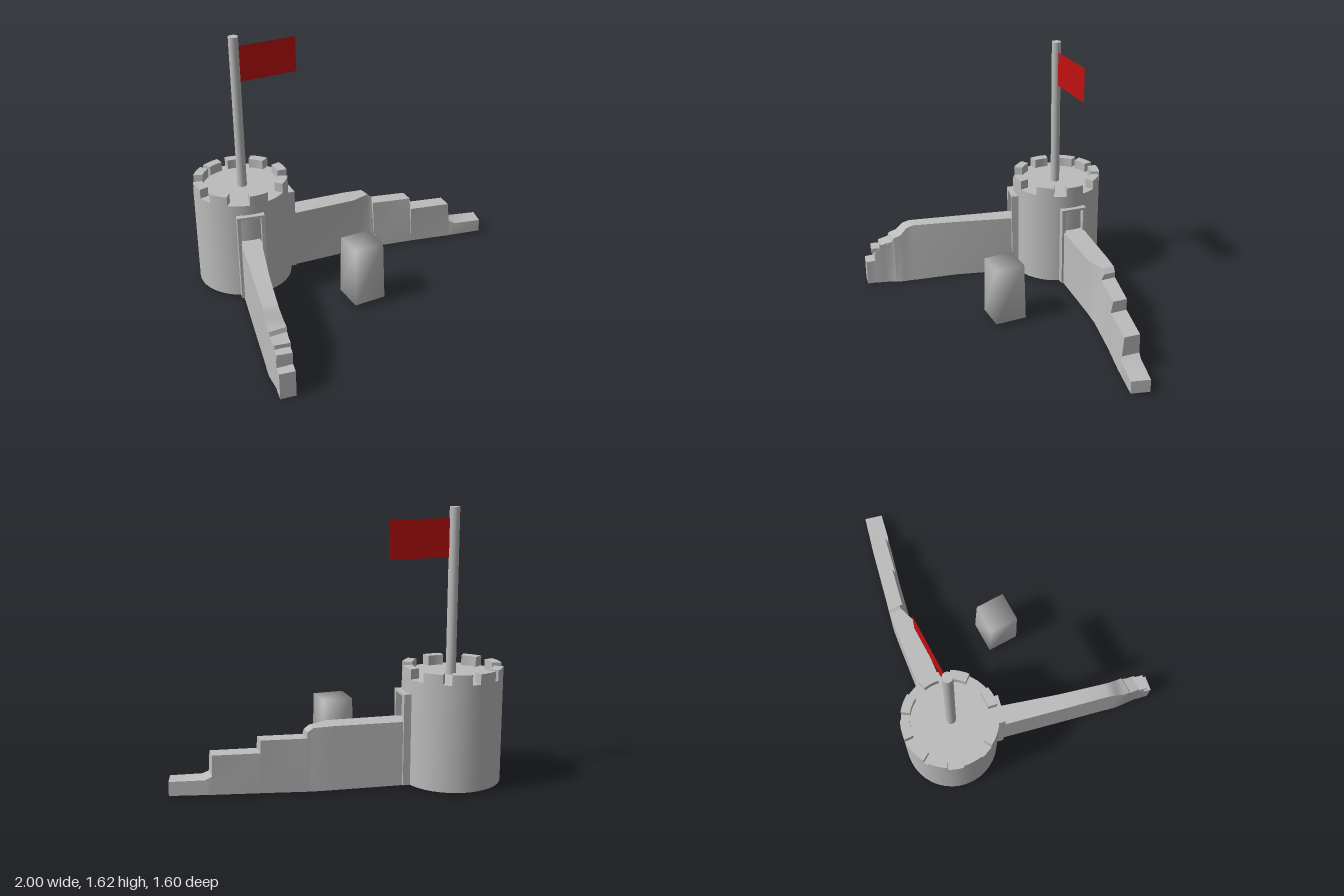
import * as THREE from 'three';
import { mergeVertices, toCreasedNormals } from 'three/addons/utils/BufferGeometryUtils.js';

const TOWER = { x: -0.655, z: -0.505, r: 0.295, base: 0.015, floor: 0.645, top: 0.705 };

// Lofts a wall through stations [leftX, leftZ, rightX, rightZ, height, leftInset, rightInset],
// left and right being those of someone walking along the wall; insets narrow the top.
function wallGeometry(stations, base) {
  const rings = stations.map(([lx, lz, rx, rz, h, li = 0, ri = 0]) => {
    const l = new THREE.Vector3(lx, 0, lz), r = new THREE.Vector3(rx, 0, rz);
    const at = (t, y) => l.clone().lerp(r, t).setY(y);
    return [at(0, base), at(1, base), at(1 - ri, h), at(li, h)];
  });
  const pos = [];
  const quad = (a, b, c, d) => [a, b, c, a, c, d].forEach((p) => pos.push(p.x, p.y, p.z));
  quad(...rings[0]);
  for (let s = 0; s + 1 < rings.length; s++) {
    for (let i = 0; i < 4; i++) {
      const j = (i + 1) % 4;
      quad(rings[s][i], rings[s + 1][i], rings[s + 1][j], rings[s][j]);
    }
  }
  quad(...rings[rings.length - 1].slice().reverse());
  const g = new THREE.BufferGeometry();
  g.setAttribute('position', new THREE.Float32BufferAttribute(pos, 3));
  return toCreasedNormals(g, 0.5);
}

export function createModel() {
  const model = new THREE.Group();
  const stone = new THREE.MeshStandardMaterial({ color: 0xbcbcbc });
  stone.name = 'grey stone';
  const red = new THREE.MeshStandardMaterial({ color: 0xc01010, side: THREE.DoubleSide });
  red.name = 'red cloth';

  const add = (name, geometry, material, parent = model, x = 0, y = 0, z = 0) => {
    const mesh = new THREE.Mesh(geometry, material);
    mesh.name = name;
    mesh.position.set(x, y, z);
    parent.add(mesh);
    return mesh;
  };

  // Round tower
  const tower = new THREE.Group();
  tower.name = 'tower';
  tower.position.set(TOWER.x, 0, TOWER.z);
  model.add(tower);
  const h = TOWER.floor - TOWER.base;
  add('towerBody', new THREE.CylinderGeometry(TOWER.r, TOWER.r, h, 40), stone, tower, 0, TOWER.base + h / 2, 0);

  // Battlements: curved blocks around the rim, angles from +x towards +z
  const half = THREE.MathUtils.degToRad(11.5);
  const sector = new THREE.Shape();
  sector.absarc(0, 0, TOWER.r, -half, half, false);
  sector.absarc(0, 0, 0.238, half, -half, true);
  const merlon = new THREE.ExtrudeGeometry(sector, { depth: TOWER.top - TOWER.floor, bevelEnabled: false, curveSegments: 5 });
  merlon.rotateX(-Math.PI / 2);
  [0, 40, 90, 140, 180, 222, 251, 284, 317].forEach((deg) => {
    add('battlement', merlon, stone, tower, 0, TOWER.floor, 0).rotation.y = -THREE.MathUtils.degToRad(deg);
  });

  // Flagpole and flag
  add('flagpole', new THREE.CylinderGeometry(0.03, 0.03, 0.98, 20), stone, model, -0.65, 1.13, -0.495);
  add('flag', new THREE.PlaneGeometry(0.37, 0.225), red, model, -0.435, 1.4425, -0.495);

  // Door frames where the walls meet the tower
  const doorFrame = (name, angle, height) => {
    const frame = new THREE.Group();
    frame.name = name;
    frame.rotation.y = angle;
    tower.add(frame);
    const postHeight = height - TOWER.base;
    for (const side of [-1, 1]) {
      add('doorPost', new THREE.BoxGeometry(0.022, postHeight, 0.08), stone, frame, side * 0.074, TOWER.base + postHeight / 2, 0.285);
    }
    add('doorLintel', new THREE.BoxGeometry(0.17, 0.016, 0.08), stone, frame, 0, height - 0.008, 0.285);
  };
  doorFrame('sideDoorFrame', Math.atan2(1, 0.06), 0.56);
  doorFrame('frontDoorFrame', Math.atan2(-0.22, 1), 0.582);

  // Stepped side wall
  add('sideWall', wallGeometry([
    [-0.40, -0.565, -0.40, -0.42, 0.395],
    [0.08, -0.512, 0.08, -0.382, 0.395],
    [0.20, -0.497, 0.20, -0.368, 0.39, 0, 0.4],
    [0.23, -0.49, 0.23, -0.362, 0.365, 0, 0.4],
    [0.232, -0.49, 0.232, -0.362, 0.33, 0, 0.25],
    [0.49, -0.43, 0.485, -0.308, 0.325, 0, 0.25],
    [0.492, -0.43, 0.487, -0.308, 0.25, 0, 0.12],
    [0.76, -0.37, 0.75, -0.243, 0.245, 0, 0.2],
    [0.762, -0.37, 0.755, -0.243, 0.12, 0, 0.1],
    [0.80, -0.36, 0.79, -0.235, 0.1],
    [1.0, -0.31, 0.97, -0.197, 0.095],
  ], 0.012), stone);

  // Crumbling front wall
  add('frontWall', wallGeometry([
    [-0.66, -0.25, -0.78, -0.25, 0.405],
    [-0.67, -0.18, -0.795, -0.18, 0.405],
    [-0.775, 0.2, -0.885, 0.2, 0.402, 0.1],
    [-0.82, 0.47, -0.948, 0.47, 0.4, 0.3],
    [-0.83, 0.515, -0.96, 0.515, 0.385, 0.28],
    [-0.835, 0.56, -0.97, 0.56, 0.34, 0.22],
    [-0.85, 0.61, -0.975, 0.61, 0.325, 0.15],
    [-0.86, 0.62, -0.975, 0.62, 0.30, 0.1],
    [-0.88, 0.685, -0.98, 0.685, 0.285, 0.1],
    [-0.88, 0.69, -0.98, 0.69, 0.26, 0.1],
    [-0.895, 0.735, -0.99, 0.725, 0.235],
    [-0.897, 0.74, -0.99, 0.73, 0.17],
    [-0.908, 0.797, -1.0, 0.782, 0.165],
  ], 0), stone);
  // Loose ledge stones on the broken end
  [[0.655, 0.27, -0.925], [0.71, 0.245, -0.94]].forEach(([z, y, x]) => {
    add('ledgeStone', new THREE.BoxGeometry(0.09, 0.03, 0.08), stone, model, x, y, z).rotation.y = -0.22;
  });

  // Free-standing block with softened shading, slightly narrower at the top
  let block = new THREE.BoxGeometry(0.205, 0.38, 0.205);
  const p = block.attributes.position;
  for (let i = 0; i < p.count; i++) {
    const k = p.getY(i) > 0 ? 0.93 : 1;
    p.setX(i, p.getX(i) * k);
    p.setZ(i, p.getZ(i) * k);
  }
  block.deleteAttribute('normal');
  block.deleteAttribute('uv');
  block = mergeVertices(block);
  block.computeVertexNormals();
  add('stoneBlock', block, stone, model, -0.127, 0.21, 0.112);

  return model;
}
